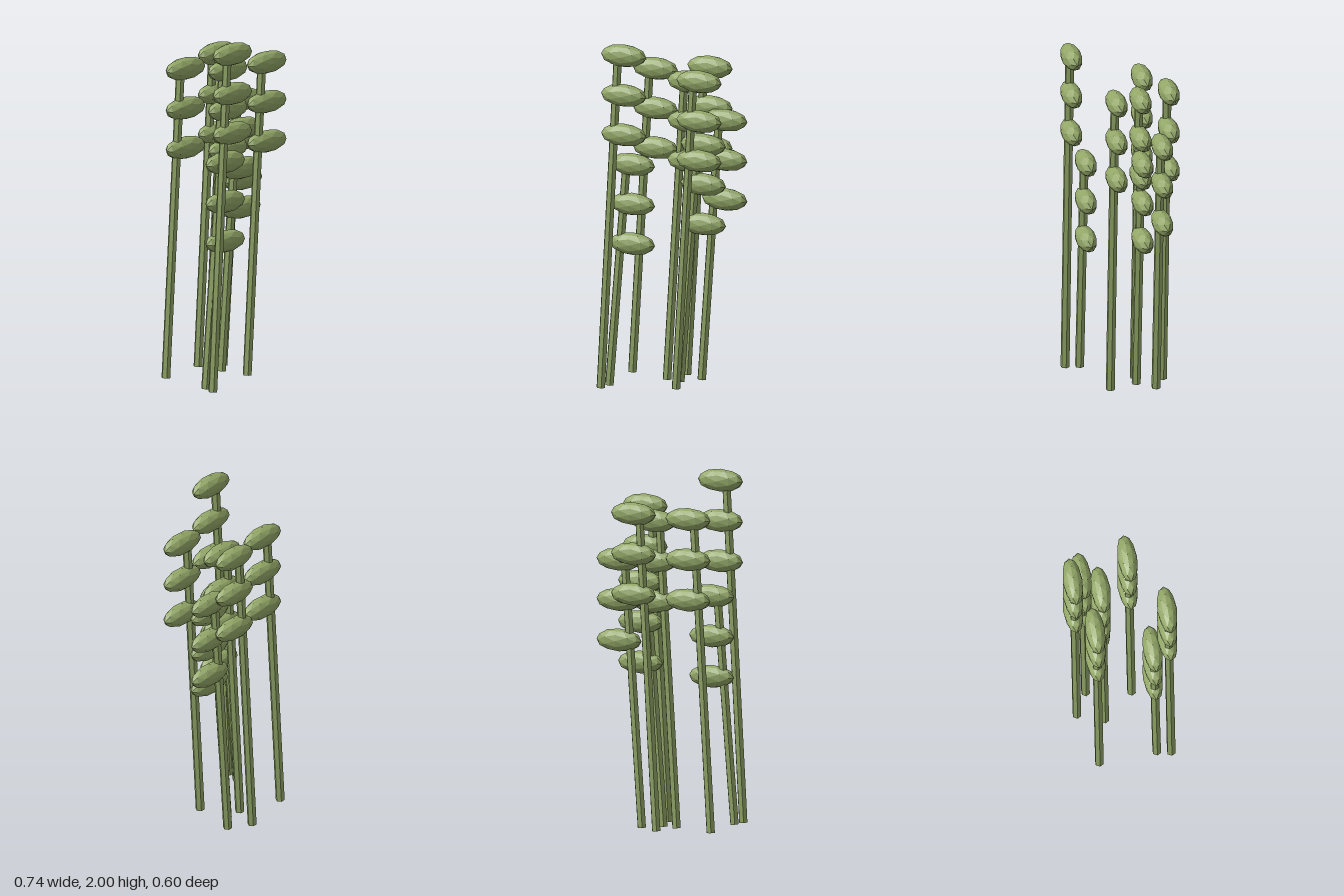
import * as THREE from 'three';

// Each stalk: pod centre x, z and height of its top pod
const STALKS = [
  [-0.20, 0.243, 1.935],
  [-0.185, 0.163, 1.29],
  [0.19, 0.08, 1.79],
  [0.05, -0.094, 1.735],
  [0.138, -0.083, 1.383],
  [-0.20, -0.165, 1.77],
  [0.227, -0.175, 1.515],
  [0.102, -0.244, 1.793],
];
const POD_GAP = 0.229;

export function createModel() {
  const model = new THREE.Group();
  model.name = 'podStalks';
  const green = new THREE.MeshStandardMaterial({ color: 0x92a667, flatShading: true });
  green.name = 'leaf green';

  // Faceted oval pod shared by all stalks
  const podGeometry = new THREE.IcosahedronGeometry(1, 1).scale(0.141, 0.065, 0.056);

  for (const [x, z, top] of STALKS) {
    const stalk = new THREE.Group();
    stalk.name = 'stalk';

    // Leaning six-sided stem, from the ground up into the top pod
    const from = new THREE.Vector3(x - 0.143, 0.0015, z);
    const to = new THREE.Vector3(x - 0.036, top, z);
    const along = to.clone().sub(from);
    const stem = new THREE.Mesh(
      new THREE.CylinderGeometry(0.026, 0.026, along.length(), 6, 1, false, Math.PI / 6),
      green
    );
    stem.name = 'stem';
    stem.position.copy(from).add(to).multiplyScalar(0.5);
    stem.quaternion.setFromUnitVectors(new THREE.Vector3(0, 1, 0), along.normalize());
    stalk.add(stem);

    // Three level pods stacked one above another
    for (let i = 0; i < 3; i++) {
      const pod = new THREE.Mesh(podGeometry, green);
      pod.name = 'pod';
      pod.position.set(x, top - i * POD_GAP, z);
      stalk.add(pod);
    }
    model.add(stalk);
  }
  return model;
}
